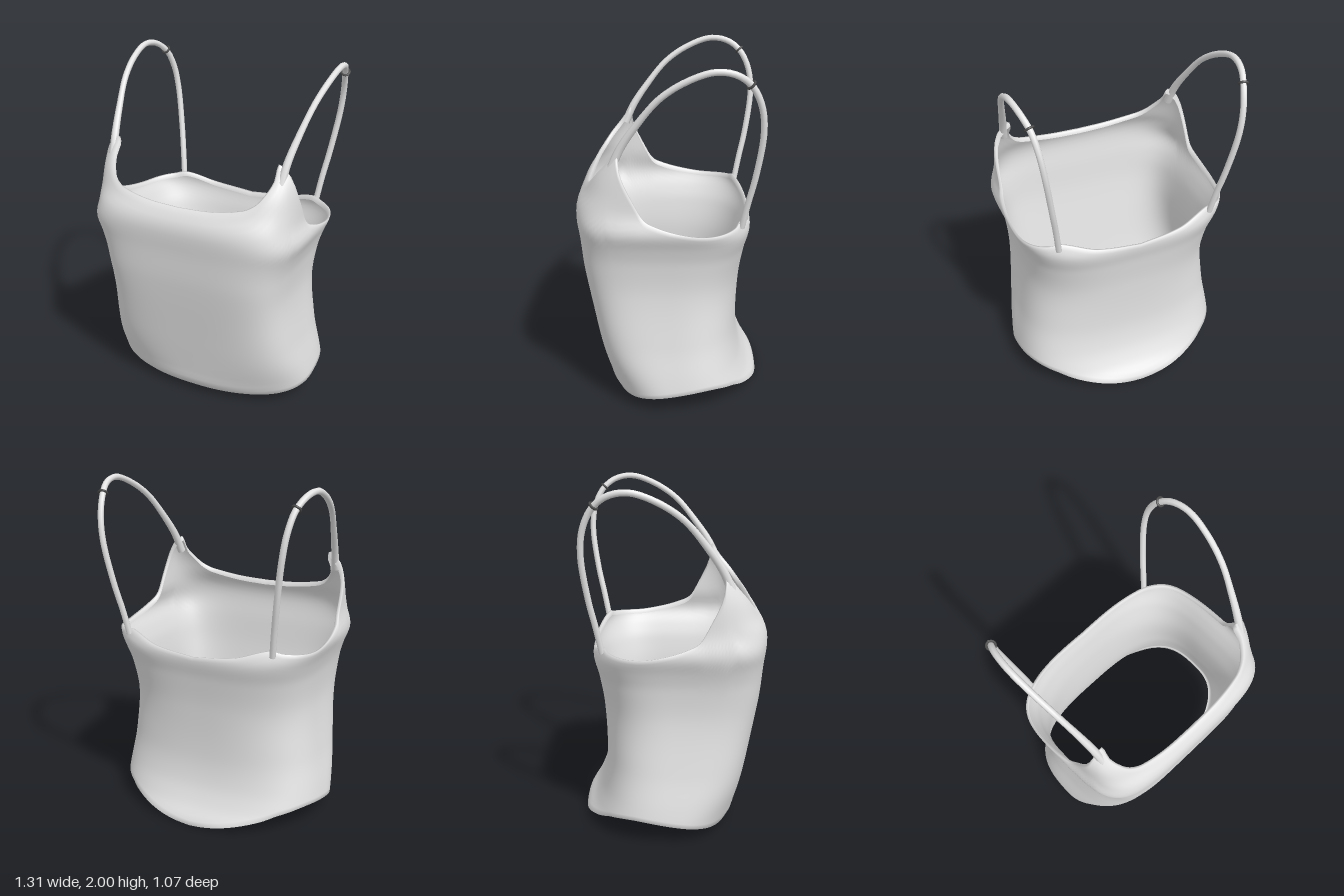
import * as THREE from 'three';

const fabric = new THREE.MeshStandardMaterial({ color: 0xe4e4e4, side: THREE.DoubleSide });
fabric.name = 'light grey fabric';
const metal = new THREE.MeshStandardMaterial({ color: 0x4a4a4a });
metal.name = 'dark grey slider';

// Smooth curve through [t, value] pairs, clamped at both ends
function curve(pts) {
  const slope = (i) => {
    const a = pts[Math.max(i - 1, 0)], b = pts[Math.min(i + 1, pts.length - 1)];
    return (b[1] - a[1]) / (b[0] - a[0]);
  };
  return (t) => {
    if (t <= pts[0][0]) return pts[0][1];
    if (t >= pts[pts.length - 1][0]) return pts[pts.length - 1][1];
    let i = 0;
    while (t > pts[i + 1][0]) i++;
    const [t0, v0] = pts[i], [t1, v1] = pts[i + 1];
    const h = t1 - t0, s = (t - t0) / h, s2 = s * s, s3 = s2 * s;
    return v0 * (2 * s3 - 3 * s2 + 1) + v1 * (3 * s2 - 2 * s3)
      + h * (slope(i) * (s3 - 2 * s2 + s) + slope(i + 1) * (s3 - s2));
  };
}

// Cross-section by height: half width, front and back depth, squareness
const halfWidth = curve([[0, 0.645], [0.1, 0.652], [0.2, 0.64], [0.4, 0.604], [0.7, 0.573],
  [0.9, 0.59], [1.0, 0.617], [1.1, 0.652], [1.2, 0.628], [1.3, 0.626], [1.55, 0.626]]);
const frontDepth = curve([[0.04, 0.355], [0.08, 0.38], [0.14, 0.39], [0.25, 0.41], [0.4, 0.437],
  [0.8, 0.505], [1.0, 0.525], [1.15, 0.54], [1.22, 0.525], [1.28, 0.487], [1.4, 0.427], [1.55, 0.31]]);
const backDepth = curve([[0, 0.535], [0.03, 0.525], [0.11, 0.47], [0.23, 0.42], [0.4, 0.397],
  [0.7, 0.41], [0.9, 0.44], [1.03, 0.467], [1.12, 0.435]]);
const frontSquare = curve([[0.04, 2.1], [0.12, 2.3], [0.36, 3.6], [0.6, 4.3], [0.8, 4.8],
  [1.15, 4.6], [1.55, 5]]);
const backSquare = curve([[0, 2.6], [0.2, 3], [0.45, 2.9], [0.7, 2.8], [1.1, 3.5]]);

// Edges by angle in degrees: -90 is the back centre, 0 the side, 90 the front centre
const hem = curve([[-90, 0.003], [-80, 0.01], [-69, 0.027], [-58, 0.05], [-45, 0.085], [-35, 0.12],
  [-20, 0.143], [0, 0.112], [10, 0.092], [20, 0.07], [30, 0.055], [45, 0.047], [60, 0.043], [90, 0.045]]);
const rim = curve([[-90, 1.035], [-60, 1.065], [-41, 1.12], [-35, 1.105], [-18, 1.09], [-5, 1.11],
  [7, 1.15], [13, 1.19], [18, 1.29], [23, 1.41], [26, 1.51], [28, 1.555], [30, 1.53], [33, 1.475],
  [39, 1.405], [44, 1.355], [50, 1.322], [67, 1.29], [90, 1.28]]);

function bodyPoint(angle, y, inset) {
  const c = Math.cos(angle), s = Math.sin(angle);
  const depth = s > 0 ? frontDepth(y) : backDepth(y);
  const n = s > 0 ? frontSquare(y) : backSquare(y);
  const r = (Math.abs(c / halfWidth(y)) ** n + Math.abs(s / depth) ** n) ** (-1 / n) - inset;
  return [r * c, r * s];
}

// Body: a tube of cloth with the edges folded inwards at hem and rim
function makeBody() {
  const cols = 240, rows = 40, pos = [], index = [];
  for (let i = -2; i <= rows + 2; i++) {
    const t = Math.min(Math.max(i, 0), rows) / rows;
    const fold = i < 0 ? -i : Math.max(0, i - rows);
    for (let j = 0; j < cols; j++) {
      const angle = (j / cols) * Math.PI * 2;
      const deg = THREE.MathUtils.radToDeg(Math.asin(Math.sin(angle)));
      const low = hem(deg), high = rim(deg);
      const y = low + (high - low) * t;
      const [x, z] = bodyPoint(angle, y, [0, 0.013, 0.019][fold]);
      const lift = [0, 0.002, 0.028][fold] * (i < 0 ? 1 : -1);
      pos.push(x, y + lift, z);
    }
  }
  for (let i = 0; i < rows + 4; i++) {
    for (let j = 0; j < cols; j++) {
      const k = (j + 1) % cols;
      const a = i * cols + j, b = i * cols + k, c = a + cols, d = b + cols;
      index.push(a, c, b, b, c, d);
    }
  }
  const geo = new THREE.BufferGeometry();
  geo.setAttribute('position', new THREE.Float32BufferAttribute(pos, 3));
  geo.setIndex(index);
  geo.computeVertexNormals();
  return geo;
}

// Shoulder strap path from front corner over the shoulder to the back rim
function strapPath(side) {
  return new THREE.CatmullRomCurve3([
    [0.538, 1.45, 0.31], [0.55, 1.56, 0.26], [0.574, 1.69, 0.172], [0.607, 1.84, 0.045],
    [0.63, 1.935, -0.1], [0.638, 1.981, -0.24], [0.625, 1.963, -0.35], [0.6, 1.9, -0.43],
    [0.58, 1.79, -0.482], [0.56, 1.65, -0.497], [0.52, 1.4, -0.465], [0.492, 1.24, -0.43],
    [0.47, 1.09, -0.4],
  ].map(([x, y, z]) => new THREE.Vector3(x * side, y, z)));
}

// Strap tube that widens where it grows out of the front corner
function makeStrap(path) {
  const steps = 60, sides = 8;
  const geo = new THREE.TubeGeometry(path, steps, 0.018, sides);
  const pos = geo.attributes.position, p = new THREE.Vector3();
  for (let i = 0; i < pos.count; i++) {
    const u = Math.floor(i / (sides + 1)) / steps;
    const centre = path.getPointAt(u);
    p.fromBufferAttribute(pos, i).sub(centre);
    p.multiplyScalar(1 + 0.4 * Math.max(0, 1 - u / 0.2)).add(centre);
    pos.setXYZ(i, p.x, p.y, p.z);
  }
  return geo;
}

export function createModel() {
  const model = new THREE.Group();
  model.name = 'camisoleTop';
  const add = (geo, mat, name) => {
    const mesh = new THREE.Mesh(geo, mat);
    mesh.name = name;
    model.add(mesh);
    return mesh;
  };

  add(makeBody(), fabric, 'body');

  for (const side of [1, -1]) {
    const label = side > 0 ? 'left' : 'right';
    const path = strapPath(side);
    add(makeStrap(path), fabric, label + 'Strap');

    // Slider ring round the strap, behind the shoulder
    let u = 0.5;
    while (path.getPointAt(u).z > -0.418) u += 0.002;
    const ring = add(new THREE.TorusGeometry(0.024, 0.007, 6, 16), metal, label + 'Slider');
    ring.position.copy(path.getPointAt(u));
    ring.quaternion.setFromUnitVectors(new THREE.Vector3(0, 0, 1), path.getTangentAt(u));
  }
  return model;
}
